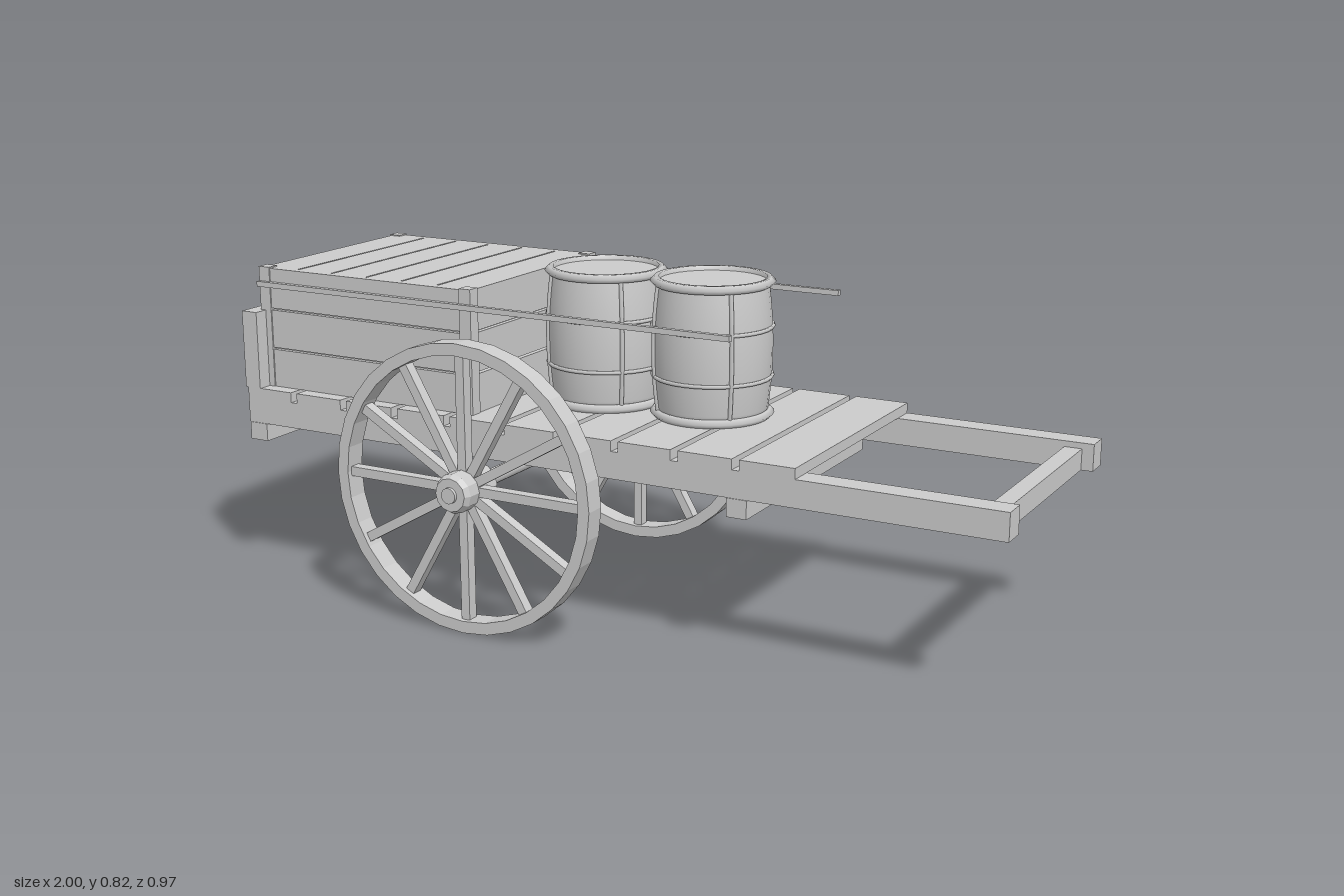
import * as THREE from 'three';

const grey = new THREE.MeshStandardMaterial({ color: 0xcccccc });
grey.name = 'plain grey';

function add(parent, geometry, name, x = 0, y = 0, z = 0) {
  const mesh = new THREE.Mesh(geometry, grey);
  mesh.name = name;
  mesh.position.set(x, y, z);
  parent.add(mesh);
  return mesh;
}

// Box given by its limits on each axis
function block(parent, name, [x0, x1], [y0, y1], [z0, z1]) {
  return add(parent, new THREE.BoxGeometry(x1 - x0, y1 - y0, z1 - z0), name,
    (x0 + x1) / 2, (y0 + y1) / 2, (z0 + z1) / 2);
}

function group(parent, name) {
  const g = new THREE.Group();
  g.name = name;
  parent.add(g);
  return g;
}

function buildFrame(cart) {
  const frame = group(cart, 'frame');
  for (const s of [-1, 1]) {
    const z = s > 0 ? [0.262, 0.323] : [-0.323, -0.262];
    block(frame, 'sideRail', [-0.995, 1], [0.397, 0.462], z);
  }
  block(frame, 'handleBar', [0.93, 0.972], [0.397, 0.448], [-0.265, 0.265]);
  block(frame, 'frontCrossBeam', [0.352, 0.402], [0.353, 0.397], [-0.325, 0.325]);
  block(frame, 'rearCrossBeam', [-0.992, -0.94], [0.353, 0.397], [-0.325, 0.325]);

  // Deck planks with narrow gaps
  const pitch = 0.153;
  for (let i = 0; i < 10; i++) {
    const x = -0.995 + i * pitch;
    block(frame, 'deckPlank', [x, x + pitch - 0.018], [0.462, 0.487], [-0.323, 0.323]);
  }
  block(frame, 'tailBoard', [-1, -0.955], [0.487, 0.681], [-0.325, 0.325]);
}

function buildChest(cart) {
  const chest = group(cart, 'chest');
  const [x0, x1, y0, y1, w] = [-0.97, -0.34, 0.487, 0.79, 0.288];
  const post = 0.032, inset = 0.003, gap = 0.005;
  block(chest, 'chestCore', [x0 + 0.015, x1 - 0.015], [y0, y1 - 0.02], [-w + 0.015, w - 0.015]);

  // Corner posts
  for (const x of [x0, x1 - post])
    for (const z of [-w, w - post])
      block(chest, 'cornerPost', [x, x + post], [y0, y1], [z, z + post]);

  // Three boards on each wall
  const h = (y1 - inset - y0) / 3;
  for (let i = 0; i < 3; i++) {
    const ys = [y0 + i * h, y0 + (i + 1) * h - (i < 2 ? gap : 0)];
    for (const z of [-w + inset, w - inset - 0.02])
      block(chest, 'sideBoard', [x0 + post, x1 - post], ys, [z, z + 0.02]);
    for (const x of [x0 + inset, x1 - inset - 0.02])
      block(chest, 'endBoard', [x, x + 0.02], ys, [-w + post, w - post]);
  }

  // Lid boards
  const n = 6, step = (x1 - x0 - 2 * inset) / n;
  for (let i = 0; i < n; i++) {
    const x = x0 + inset + i * step;
    block(chest, 'lidBoard', [x, x + step - (i < n - 1 ? gap : 0)],
      [y1 - 0.025, y1 - inset], [-w + inset, w - inset]);
  }

  // Long rails beside the load
  for (const z of [-0.299, 0.286])
    block(chest, 'loadRail', [x0, 0.343], [0.741, 0.754], [z, z + 0.013]);
}

function buildBarrel(cart, x) {
  const barrel = group(cart, 'barrel');
  barrel.position.set(x, 0.487, 0);
  const H = 0.334;
  const radiusAt = y => 0.143 - 0.013 * ((y - H / 2) / (H / 2)) ** 2;

  // Bulged body
  const profile = [new THREE.Vector2(0, 0)];
  for (let i = 0; i <= 12; i++) {
    const y = (H - 0.012) * i / 12;
    profile.push(new THREE.Vector2(radiusAt(y), y));
  }
  add(barrel, new THREE.LatheGeometry(profile, 32), 'barrelBody');
  add(barrel, new THREE.CylinderGeometry(0.131, 0.131, 0.006, 32), 'barrelLid', 0, H - 0.014, 0);

  // Angular rims at top and bottom
  const rim = [[0.127, 0], [0.138, 0], [0.148, 0.01], [0.138, 0.02], [0.127, 0.02], [0.127, 0]]
    .map(p => new THREE.Vector2(...p));
  for (const y of [0, H - 0.02]) add(barrel, new THREE.LatheGeometry(rim, 32), 'barrelRim', 0, y, 0);

  // Hoops and upright rods
  for (const y of [0.1, 0.219]) {
    const hoop = add(barrel, new THREE.TorusGeometry(radiusAt(y) + 0.001, 0.005, 6, 32), 'barrelHoop', 0, y, 0);
    hoop.rotation.x = Math.PI / 2;
  }
  for (let k = 0; k < 4; k++) {
    const a = Math.PI / 4 + k * Math.PI / 2;
    const points = [];
    for (let i = 0; i <= 6; i++) {
      const y = 0.01 + (H - 0.02) * i / 6, r = radiusAt(y) + 0.002;
      points.push(new THREE.Vector3(Math.cos(a) * r, y, Math.sin(a) * r));
    }
    add(barrel, new THREE.TubeGeometry(new THREE.CatmullRomCurve3(points), 10, 0.005, 6), 'barrelRod');
  }
}

function buildWheel(cart, side) {
  const wheel = group(cart, side > 0 ? 'frontWheel' : 'backWheel');
  wheel.position.set(-0.28, 0.349, side * 0.413);
  const R = 0.349, inner = 0.32, sides = 32;

  // Faceted rim
  const ring = r => Array.from({ length: sides }, (_, i) => {
    const a = i * 2 * Math.PI / sides;
    return new THREE.Vector2(Math.cos(a) * r, Math.sin(a) * r);
  });
  const shape = new THREE.Shape(ring(R));
  shape.holes.push(new THREE.Path(ring(inner)));
  add(wheel, new THREE.ExtrudeGeometry(shape, { depth: 0.054, bevelEnabled: false }), 'wheelRim', 0, 0, -0.027);

  // Twelve spokes
  for (let i = 0; i < 12; i++) {
    const a = i * Math.PI / 6;
    const spoke = add(wheel, new THREE.BoxGeometry(0.295, 0.023, 0.028), 'spoke',
      Math.cos(a) * 0.178, Math.sin(a) * 0.178, 0);
    spoke.rotation.z = a;
  }

  // Hub with a chamfered outer end
  const hub = [[0, -0.06], [0.048, -0.06], [0.048, 0.05], [0.04, 0.064], [0, 0.064]]
    .map(p => new THREE.Vector2(...p));
  const hubGeometry = new THREE.LatheGeometry(hub, 12).toNonIndexed();
  hubGeometry.computeVertexNormals();
  add(wheel, hubGeometry, 'hub').rotation.x = side * Math.PI / 2;
}

export function createModel() {
  const cart = new THREE.Group();
  cart.name = 'handcart';
  buildFrame(cart);
  buildChest(cart);
  for (const x of [-0.14, 0.149]) buildBarrel(cart, x);
  for (const side of [-1, 1]) buildWheel(cart, side);
  const axle = add(cart, new THREE.CylinderGeometry(0.019, 0.019, 0.97, 16), 'axle', -0.28, 0.349, 0);
  axle.rotation.x = Math.PI / 2;
  return cart;
}
